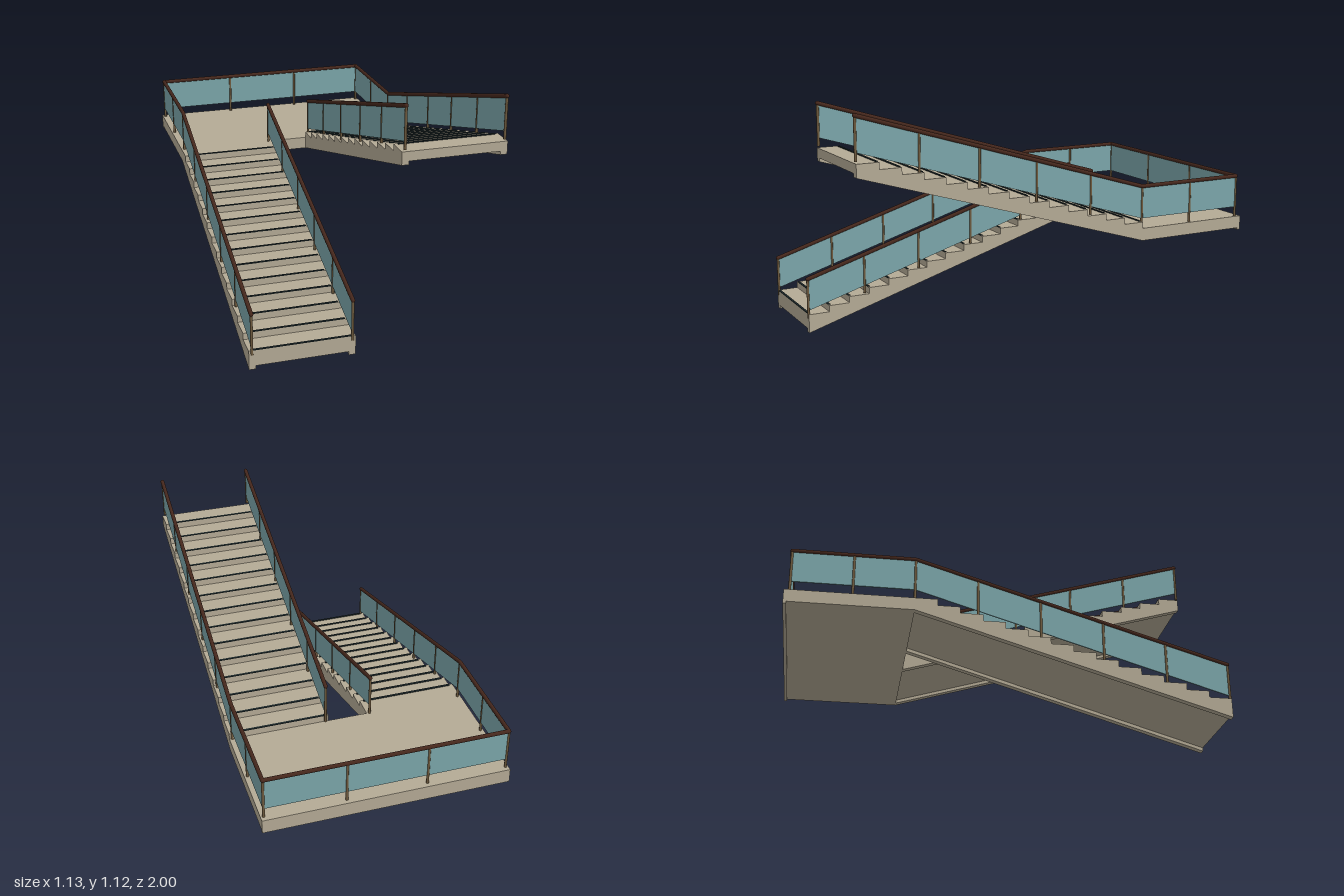
import * as THREE from 'three';

const STEPS = 14, RISE = 0.0304, FRONT = 0.995, BACK = -1, EDGE = -0.425;
const RUN = (FRONT - EDGE) / STEPS;
const DECK = 0.486, SOFFIT = 0.427;           // landing top and underside
const X_IN = 0.094, X_OUT = 0.567;            // inner and outer side of a flight
const RAIL_IN = 0.108, RAIL_OUT = 0.553, RAIL_BACK = -0.975;
const RAIL_LOW = 0.26, RAIL_MID = 0.685, RAIL_HIGH = 1.11;

const mat = (name, color) => {
  const m = new THREE.MeshStandardMaterial({ color });
  m.name = name;
  return m;
};

export function createModel() {
  const stone = mat('stone', 0xb4aa95);
  const strip = mat('dark nosing', 0x1b2628);
  const wood = mat('dark wood', 0x45271c);
  const bronze = mat('bronze', 0x6e5a3e);
  const glass = mat('teal glass', 0x7ba6aa);
  const model = new THREE.Group();
  model.name = 'staircase';

  const add = (parent, name, geometry, material) => {
    const mesh = new THREE.Mesh(geometry, material);
    mesh.name = name;
    parent.add(mesh);
    return mesh;
  };
  const group = (name) => {
    const g = new THREE.Group();
    g.name = name;
    model.add(g);
    return g;
  };

  // Extrude a (z, y) side profile between two x positions
  const slab = (points, x0, x1) => {
    const shape = new THREE.Shape(points.map(p => new THREE.Vector2(...p)));
    return new THREE.ExtrudeGeometry(shape, { depth: x1 - x0, bevelEnabled: false })
      .rotateY(-Math.PI / 2).translate(x1, 0, 0);
  };

  // Stepped side profile; lift raises the sloping underside
  const flightProfile = (upper, lift) => {
    const pts = [];
    for (let i = 0; i < STEPS; i++) {
      const y = upper ? DECK + (i + 1) * RISE : DECK - (STEPS - 1 - i) * RISE;
      const z = k => upper ? EDGE + k * RUN : FRONT - k * RUN;
      pts.push([z(i), y], [z(i + 1), y]);
    }
    const rise = STEPS * RISE;
    if (upper) pts.push([FRONT, SOFFIT + rise + lift], [EDGE, SOFFIT + lift]);
    else pts.push([EDGE, SOFFIT + lift], [FRONT, SOFFIT - rise + lift]);
    return pts;
  };

  // Flights: recessed stepped slab between two stringers, with nosing strips
  for (const upper of [false, true]) {
    const g = group(upper ? 'upperFlight' : 'lowerFlight');
    const s = upper ? 1 : -1;
    const span = (a, b) => s > 0 ? [a, b] : [-b, -a];
    add(g, 'steps', slab(flightProfile(upper, 0.016), ...span(X_IN + 0.031, X_OUT - 0.031)), stone);
    add(g, 'innerStringer', slab(flightProfile(upper, 0), ...span(X_IN, X_IN + 0.031)), stone);
    add(g, 'outerStringer', slab(flightProfile(upper, 0), ...span(X_OUT - 0.031, X_OUT)), stone);
    for (let i = 0; i < STEPS; i++) {
      const y = upper ? DECK + (i + 1) * RISE : DECK - (STEPS - 1 - i) * RISE;
      const z = upper ? EDGE + i * RUN + 0.0055 : FRONT - i * RUN - 0.0055;
      add(g, 'nosingStrip', new THREE.BoxGeometry(0.44, 0.004, 0.011), strip)
        .position.set(s * (X_IN + X_OUT) / 2, y + 0.001, z);
    }
  }

  // Landing with a slightly deeper beam on its back edge
  const landing = group('landing');
  add(landing, 'landingSlab', slab(
    [[EDGE, SOFFIT], [EDGE, DECK], [BACK, DECK], [BACK, 0.418], [BACK + 0.015, 0.418], [BACK + 0.015, SOFFIT]],
    -X_OUT, X_OUT), stone);

  // Round bar between two points
  const bar = (parent, name, a, b, r, material) => {
    const d = b.clone().sub(a);
    const mesh = add(parent, name, new THREE.CylinderGeometry(r, r, d.length(), 12), material);
    mesh.position.copy(a).add(b).multiplyScalar(0.5);
    mesh.quaternion.setFromUnitVectors(new THREE.Vector3(0, 1, 0), d.normalize());
  };

  // Thin pane hanging under a rail segment, sheared to follow its slope
  const pane = (parent, a, b) => {
    const dx = b.x - a.x, dz = b.z - a.z, len = Math.hypot(dx, dz);
    const geo = new THREE.BoxGeometry(len, 0.153, 0.006);
    const p = geo.attributes.position;
    for (let i = 0; i < p.count; i++) p.setY(i, p.getY(i) + p.getX(i) * (b.y - a.y) / len);
    geo.computeVertexNormals();
    const mesh = add(parent, 'glassPane', geo, glass);
    mesh.position.copy(a).add(b).multiplyScalar(0.5);
    mesh.position.y -= 0.0765;
    mesh.rotation.y = Math.atan2(-dz, dx);
  };

  // Balustrade along a path; bays[i] is the number of bays in segment i
  const balustrade = (name, path, bays) => {
    const g = group(name);
    const pts = path.map(p => new THREE.Vector3(...p));
    const post = (p) => bar(g, 'post', p.clone().setY(p.y - 0.19 - (p.y === RAIL_MID ? 0.012 : 0)), p, 0.0062, bronze);
    pts.forEach((p, i) => {
      add(g, 'railJoint', new THREE.SphereGeometry(0.0095, 12, 8), wood).position.copy(p);
      post(p);
      const q = pts[i + 1];
      if (!q) return;
      bar(g, 'handrail', p, q, 0.0095, wood);
      pane(g, p, q);
      for (let k = 1; k < bays[i]; k++) post(p.clone().lerp(q, k / bays[i]));
    });
  };

  const zEnd = 0.992;
  balustrade('outerBalustrade', [
    [-RAIL_OUT, RAIL_LOW, zEnd], [-RAIL_OUT, RAIL_MID, EDGE], [-RAIL_OUT, RAIL_MID, RAIL_BACK],
    [RAIL_OUT, RAIL_MID, RAIL_BACK], [RAIL_OUT, RAIL_MID, EDGE], [RAIL_OUT, RAIL_HIGH, zEnd],
  ], [5, 2, 3, 2, 5]);
  balustrade('lowerInnerBalustrade', [[-RAIL_IN, RAIL_LOW, zEnd], [-RAIL_IN, RAIL_MID, EDGE]], [5]);
  balustrade('upperInnerBalustrade', [[RAIL_IN, RAIL_MID, EDGE], [RAIL_IN, RAIL_HIGH, zEnd]], [5]);

  return model;
}
